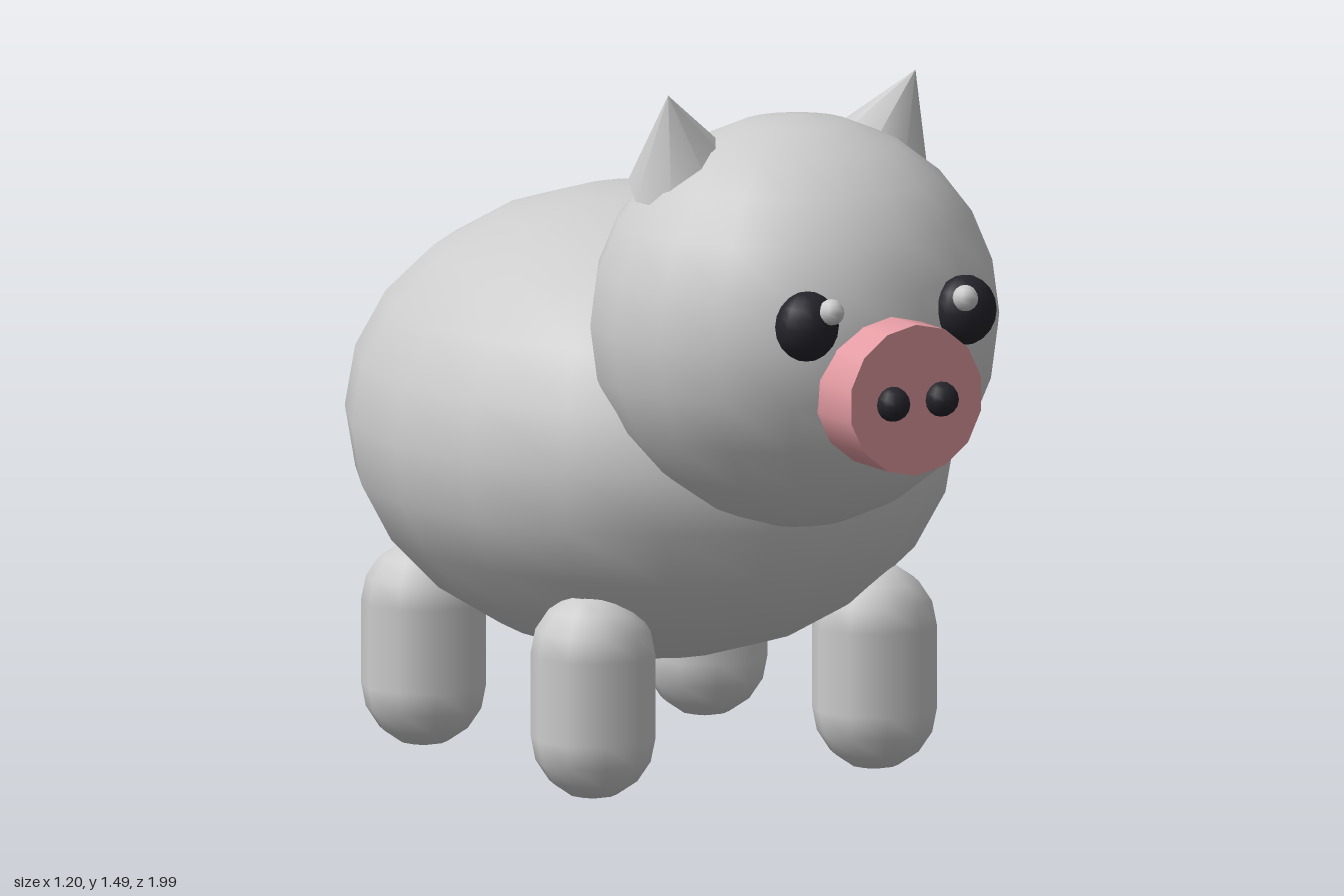
import * as THREE from 'three';

const material = (name, color) => {
  const m = new THREE.MeshStandardMaterial({ color });
  m.name = name;
  return m;
};

export function createModel() {
  const model = new THREE.Group();
  model.name = 'pig';
  const skin = material('pale grey skin', 0xcccccc);
  const pink = material('pink', 0xe49ca3);
  const dark = material('dark', 0x24242b);

  const add = (name, geometry, mat, x, y, z) => {
    const mesh = new THREE.Mesh(geometry, mat);
    mesh.name = name;
    mesh.position.set(x, y, z);
    model.add(mesh);
    return mesh;
  };
  const ellipsoid = (rx, ry, rz, w, h) => new THREE.SphereGeometry(1, w, h).scale(rx, ry, rz);

  // Body and head
  add('body', ellipsoid(0.6, 0.48, 0.69, 18, 12), skin, 0, 0.7, -0.12);
  add('head', ellipsoid(0.425, 0.423, 0.405, 18, 12), skin, 0, 0.998, 0.465);

  // Snout
  const snout = new THREE.CylinderGeometry(0.156, 0.156, 0.137, 14).rotateX(Math.PI / 2);
  add('snout', snout, pink, 0, 0.91, 0.888);

  // Paired parts
  for (const [side, s] of [['left', 1], ['right', -1]]) {
    add(side + 'Nostril', ellipsoid(0.036, 0.036, 0.036, 10, 8), dark, s * 0.057, 0.908, 0.96);
    add(side + 'Eye', ellipsoid(0.067, 0.072, 0.058, 14, 10), dark, s * 0.185, 1.06, 0.834);
    add(side + 'EyeGlint', ellipsoid(0.027, 0.027, 0.027, 8, 8), skin, s * 0.157, 1.095, 0.885);

    // Ear: cone with its tip leaning outward and forward
    const tip = new THREE.Vector3(s * 0.29, 1.485, 0.453);
    const axis = new THREE.Vector3(s * 0.354, 1, 0.243).normalize();
    const ear = add(side + 'Ear', new THREE.ConeGeometry(0.12, 0.2, 8).translate(0, -0.1, 0), skin, tip.x, tip.y, tip.z);
    ear.quaternion.setFromUnitVectors(new THREE.Vector3(0, 1, 0), axis);

    // Legs
    for (const [end, z] of [['Front', 0.218], ['Back', -0.468]]) {
      add(side + end + 'Leg', new THREE.CapsuleGeometry(0.1275, 0.172, 4, 10), skin, s * 0.33, 0.2135, z);
    }
  }

  // Curly tail: open ring standing in the middle plane
  const tail = add('tail', new THREE.TorusGeometry(0.1, 0.03, 8, 16, 5), pink, 0, 0.787, -0.87);
  tail.rotation.y = Math.PI / 2;
  pink.side = THREE.DoubleSide;

  return model;
}
